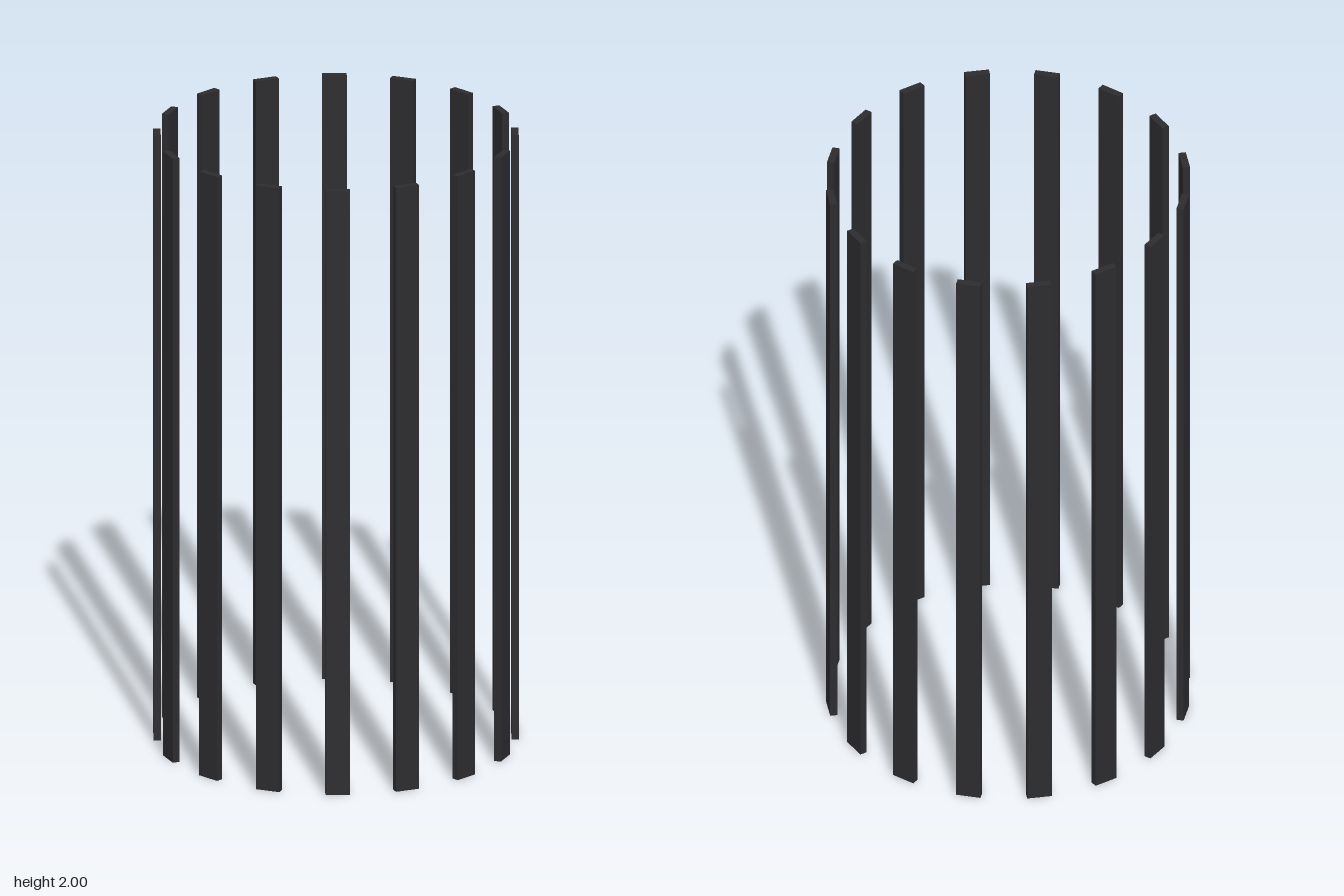
import * as THREE from 'three';

const SLATS = 16;
const RADIUS = 0.561;
const HEIGHT = 2;
const WIDTH = 0.078;
const THICKNESS = 0.023;

export function createModel() {
  const model = new THREE.Group();
  model.name = 'slatRing';

  const material = new THREE.MeshStandardMaterial({ color: 0x2c2c30 });
  const slatGeometry = new THREE.BoxGeometry(WIDTH, HEIGHT, THICKNESS);

  // Upright slats spaced evenly round a circle, broad faces outward
  for (let i = 0; i < SLATS; i++) {
    const angle = (i / SLATS) * Math.PI * 2;
    const slat = new THREE.Mesh(slatGeometry, material);
    slat.name = `slat${i + 1}`;
    slat.position.set(Math.sin(angle) * RADIUS, HEIGHT / 2, Math.cos(angle) * RADIUS);
    slat.rotation.y = angle;
    model.add(slat);
  }

  return model;
}
